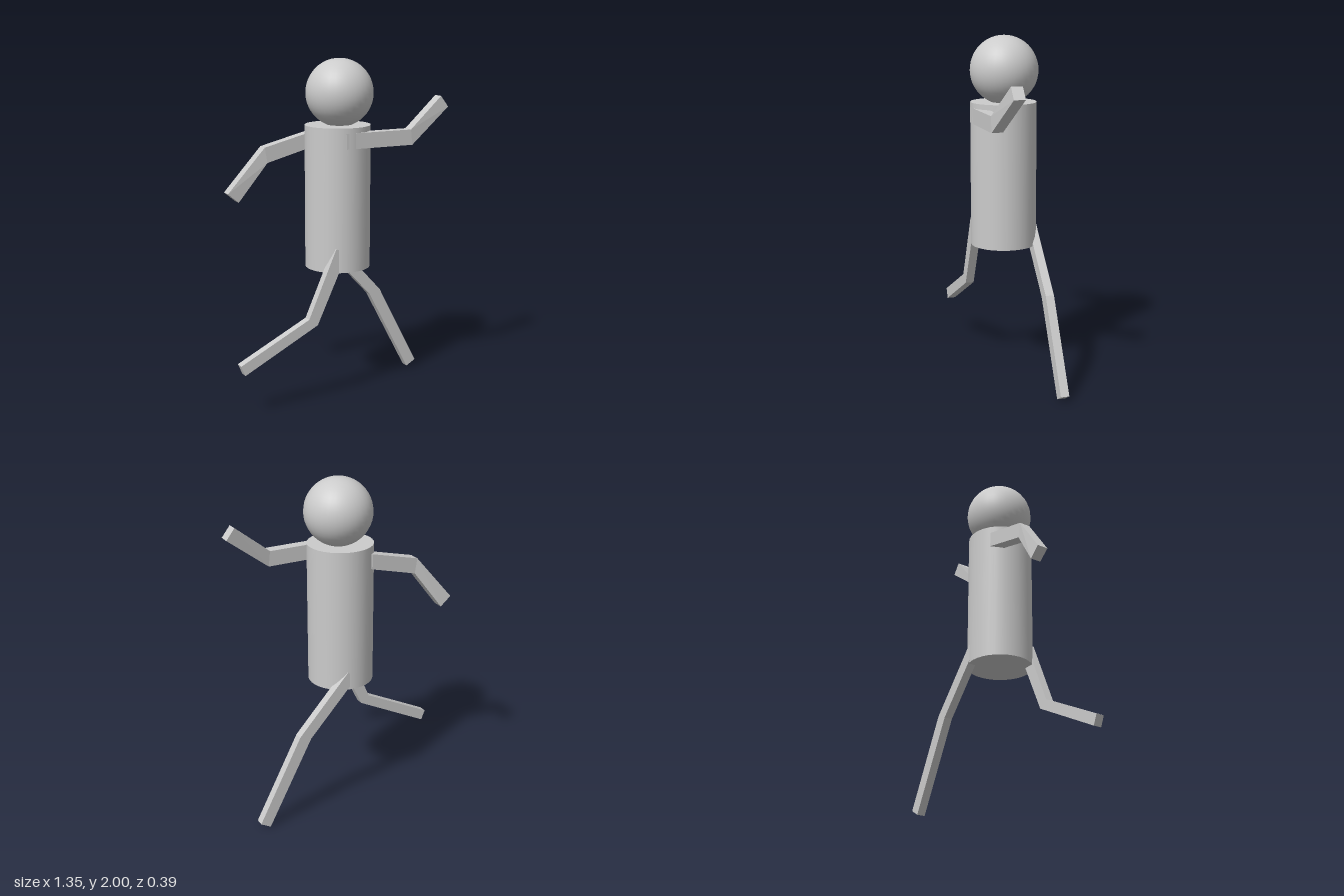
import * as THREE from 'three';

const material = new THREE.MeshStandardMaterial({ color: 0xcccccc });
const flatMaterial = new THREE.MeshStandardMaterial({ color: 0xcccccc, flatShading: true });

// Bent square limb. Each section: [ax, ay, bx, by, zBack, zFront],
// with a on the left and b on the right of the direction of travel.
function limb(name, sections) {
  const rings = sections.map(([ax, ay, bx, by, z0, z1]) => [
    [ax, ay, z0], [ax, ay, z1], [bx, by, z1], [bx, by, z0],
  ]);
  const pos = [];
  const quad = (a, b, c, d) => pos.push(...a, ...b, ...c, ...a, ...c, ...d);
  for (let s = 0; s < rings.length - 1; s++) {
    const r = rings[s], n = rings[s + 1];
    for (let i = 0; i < 4; i++) {
      const j = (i + 1) % 4;
      quad(r[i], r[j], n[j], n[i]);
    }
  }
  quad(...[...rings[0]].reverse());
  quad(...rings[rings.length - 1]);
  const geometry = new THREE.BufferGeometry();
  geometry.setAttribute('position', new THREE.Float32BufferAttribute(pos, 3));
  geometry.computeVertexNormals();
  const mesh = new THREE.Mesh(geometry, flatMaterial);
  mesh.name = name;
  return mesh;
}

export function createModel() {
  const model = new THREE.Group();
  model.name = 'runningFigure';

  // Head and torso
  const head = new THREE.Mesh(new THREE.SphereGeometry(0.197, 32, 24), material);
  head.name = 'head';
  head.position.set(0.032, 1.803, 0);
  const torso = new THREE.Mesh(new THREE.CylinderGeometry(0.192, 0.192, 0.84, 32), material);
  torso.name = 'torso';
  torso.position.set(0.02, 1.2, 0);
  model.add(head, torso);

  // Arms: shoulder, elbow, hand
  model.add(limb('leftArm', [
    [-0.02, 1.59, -0.02, 1.5, 0.125, 0.19],
    [0.4, 1.59, 0.41, 1.5, 0.125, 0.19],
    [0.625, 1.77, 0.675, 1.705, 0.085, 0.15],
  ]));
  model.add(limb('rightArm', [
    [-0.1, 1.485, -0.1, 1.575, -0.157, -0.09],
    [-0.385, 1.41, -0.4, 1.5, -0.157, -0.09],
    [-0.55, 1.185, -0.615, 1.24, -0.195, -0.13],
  ]));

  // Legs: hip, knee, foot
  model.add(limb('leftLeg', [
    [0.07, 0.89, 0.015, 0.845, -0.188, -0.138],
    [0.385, 0.545, 0.315, 0.52, -0.188, -0.138],
    [0.65, 0.035, 0.59, 0, -0.188, -0.138],
  ]));
  model.add(limb('rightLeg', [
    [-0.005, 0.895, -0.075, 0.925, 0.125, 0.175],
    [-0.195, 0.485, -0.25, 0.525, 0.125, 0.175],
    [-0.65, 0.25, -0.675, 0.31, 0.125, 0.175],
  ]));

  return model;
}
